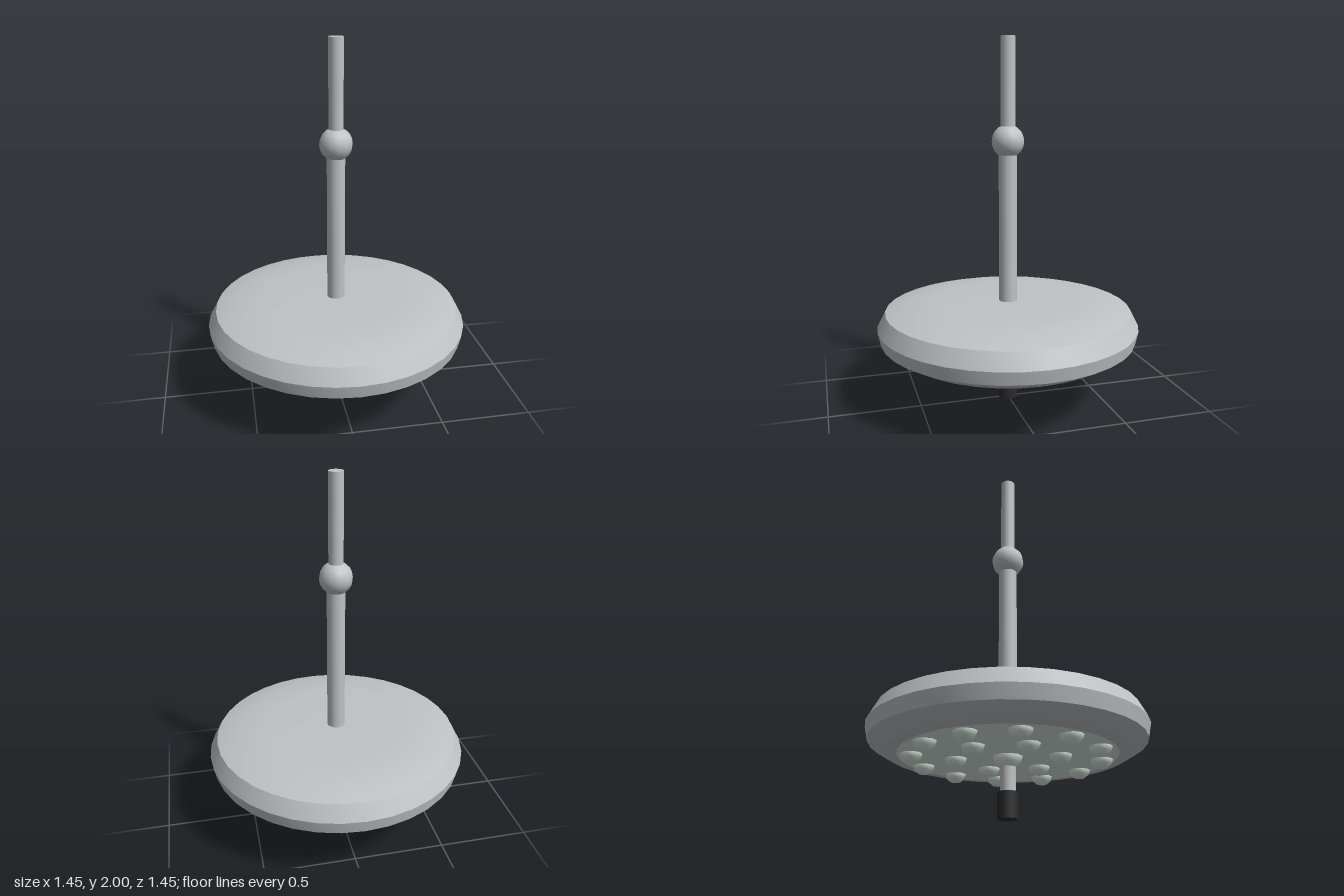
import * as THREE from 'three';
import { toCreasedNormals } from 'three/addons/utils/BufferGeometryUtils.js';

const material = (name, color) => {
  const m = new THREE.MeshStandardMaterial({ color });
  m.name = name;
  return m;
};

export function createModel() {
  const group = new THREE.Group();
  group.name = 'ceilingLamp';
  const metal = material('grey metal', 0xc0c2c5);
  const glass = material('pale glass', 0xebf9f2);
  const rubber = material('black rubber', 0x2b2b2b);

  const add = (name, geometry, mat, x = 0, y = 0, z = 0) => {
    const mesh = new THREE.Mesh(geometry, mat);
    mesh.name = name;
    mesh.position.set(x, y, z);
    group.add(mesh);
    return mesh;
  };
  const rod = (name, radius, y0, y1, mat, sides = 16) =>
    add(name, new THREE.CylinderGeometry(radius, radius, y1 - y0, sides), mat, 0, (y0 + y1) / 2, 0);

  // Lamp head: faceted rim profile with a slightly domed top
  const profile = [
    [0, 0.312], [0.56, 0.312], [0.62, 0.316], [0.708, 0.368], [0.724, 0.44],
    [0.68, 0.525], [0.55, 0.561], [0.4, 0.566], [0, 0.571],
  ].map(([r, y]) => new THREE.Vector2(r, y));
  add('lampHead', toCreasedNormals(new THREE.LatheGeometry(profile, 36), 0.61), metal);

  // Light panel under the head
  const lightPanel = add('lightPanel', new THREE.CircleGeometry(0.56, 36), glass, 0, 0.31, 0);
  lightPanel.rotation.x = Math.PI / 2;

  // Bulbs: outer ring, inner ring and a larger one in the middle
  const bulb = (name, radius, x, z) => {
    const mesh = add(name, new THREE.SphereGeometry(radius, 10, 6), glass, x, 0.311, z);
    mesh.scale.y = 0.84;
  };
  const ring = (name, count, radius, offset) => {
    for (let i = 0; i < count; i++) {
      const a = offset + (i / count) * Math.PI * 2;
      bulb(name, 0.058, Math.cos(a) * radius, Math.sin(a) * radius);
    }
  };
  ring('outerBulb', 12, 0.485, 0);
  ring('innerBulb', 6, 0.268, Math.PI / 4);
  bulb('centreBulb', 0.077, 0, 0);

  // Handle
  rod('handleStem', 0.04, 0.12, 0.32, metal);
  rod('handleGrip', 0.053, 0, 0.132, rubber);

  // Hanging arm with ball joint
  rod('lowerArm', 0.05, 0.55, 1.42, metal);
  add('ballJoint', new THREE.SphereGeometry(0.09, 12, 10), metal, 0, 1.452, 0);
  rod('upperArm', 0.04, 1.48, 2, metal);

  return group;
}
